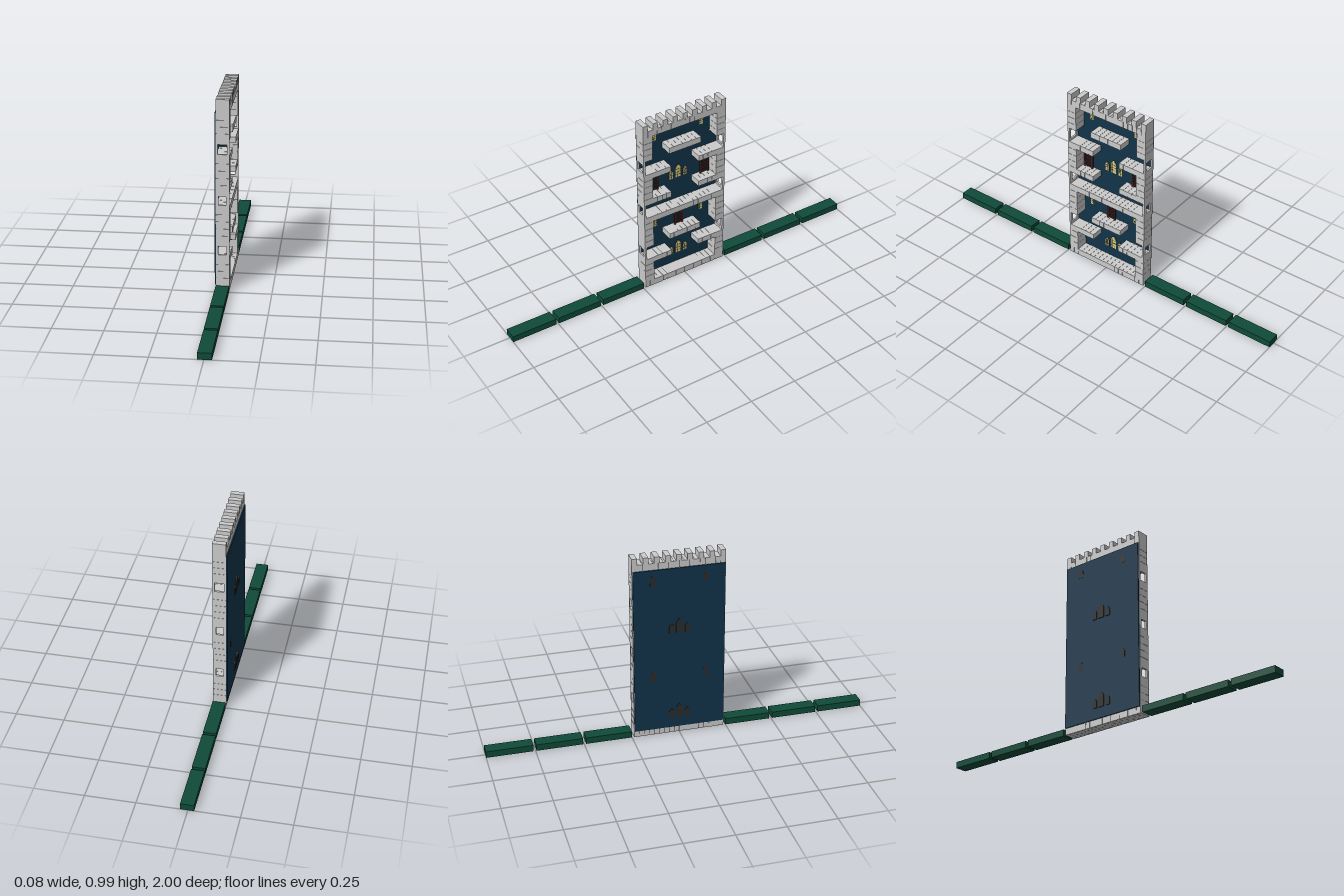
import * as THREE from 'three';

const mat = (color) => new THREE.MeshStandardMaterial({ color, flatShading: true });
const stone = mat(0xcccccc);
const mortar = mat(0x2a2a2a);
const navy = mat(0x12344a);
const green = mat(0x0f4a38);
const wood = mat(0x5a2820);
const glass = mat(0xd8cc7a);
const lead = mat(0x2e2c2a);

// Depth range shared by the masonry, and half width of the tower
const X0 = -0.03, X1 = 0.037, HALF = 0.238, INNER = 0.186;

// Box given by its limits
function box(parent, name, material, x0, x1, y0, y1, z0, z1) {
  const mesh = new THREE.Mesh(new THREE.BoxGeometry(x1 - x0, y1 - y0, z1 - z0), material);
  mesh.position.set((x0 + x1) / 2, (y0 + y1) / 2, (z0 + z1) / 2);
  mesh.name = name;
  parent.add(mesh);
  return mesh;
}

// Row or column of bricks around a dark mortar core
function bricks(parent, name, y0, y1, z0, z1, axis, size, x1 = X1) {
  const group = new THREE.Group();
  group.name = name;
  const i = 0.0012, g = 0.0006;
  box(group, 'mortar', mortar, X0 + i, x1 - i, y0 + i, y1 - i, z0 + i, z1 - i);
  const length = axis === 'y' ? y1 - y0 : z1 - z0;
  const n = Math.max(1, Math.round(length / size));
  const step = length / n;
  for (let k = 0; k < n; k++) {
    const a = k * step + (k ? g : 0);
    const b = (k + 1) * step - (k < n - 1 ? g : 0);
    if (axis === 'y') box(group, 'brick', stone, X0, x1, y0 + a, y0 + b, z0, z1);
    else box(group, 'brick', stone, X0, x1, y0, y1, z0 + a, z0 + b);
  }
  parent.add(group);
}

// Thin outer wall slab with a rectangular opening
function openingSlab(parent, side, [y0, y1, hx0, hx1, hy0, hy1]) {
  const rect = (P, a, b, c, d) => {
    const p = new P();
    p.moveTo(a, c);
    p.lineTo(b, c);
    p.lineTo(b, d);
    p.lineTo(a, d);
    p.closePath();
    return p;
  };
  const shape = rect(THREE.Shape, X0, X1, y0, y1);
  shape.holes.push(rect(THREE.Path, hx0, hx1, hy0, hy1));
  const mesh = new THREE.Mesh(
    new THREE.ExtrudeGeometry(shape, { depth: 0.01, bevelEnabled: false }), stone);
  mesh.position.z = side > 0 ? HALF - 0.01 : -HALF;
  mesh.name = 'wallOpening';
  parent.add(mesh);
}

// Pointed window: dark backing, lit pane and lead bars
function archedWindow(parent, z, y, w, h, back) {
  const group = new THREE.Group();
  group.name = 'window';
  const arch = (material, name, width, height, x0, x1) => {
    const s = new THREE.Shape();
    const r = width / 2, spring = height - width * 0.75;
    s.moveTo(-r, 0);
    s.lineTo(r, 0);
    s.lineTo(r, spring);
    s.quadraticCurveTo(r * 0.8, height - r * 0.5, 0, height);
    s.quadraticCurveTo(-r * 0.8, height - r * 0.5, -r, spring);
    const m = new THREE.Mesh(
      new THREE.ExtrudeGeometry(s, { depth: x1 - x0, bevelEnabled: false, curveSegments: 5 }), material);
    m.rotation.y = Math.PI / 2;
    m.position.x = x0;
    m.name = name;
    group.add(m);
  };
  arch(lead, 'windowFrame', w, h, back, -0.0285);
  arch(glass, 'windowPane', w * 0.88, h * 0.95, -0.0295, -0.0275);
  for (const k of [-1, 1])
    box(group, 'windowBar', lead, -0.028, -0.027, 0.001, h * 0.8, k * w / 6 - 0.0008, k * w / 6 + 0.0008);
  for (const f of [0.2, 0.4, 0.6])
    box(group, 'windowBar', lead, -0.028, -0.027, h * f, h * f + 0.0015, -w * 0.42, w * 0.42);
  group.position.set(0, y, z);
  parent.add(group);
}

// Ladder with two rails and evenly spaced rungs
function ladder(parent, z, y0, y1, w) {
  const group = new THREE.Group();
  group.name = 'ladder';
  for (const s of [-1, 1])
    box(group, 'ladderRail', wood, -0.021, -0.013, y0, y1, z + s * w / 2 - 0.004, z + s * w / 2 + 0.004);
  const n = 7;
  for (let k = 0; k < n; k++) {
    const y = y0 + (k + 0.5) * (y1 - y0) / n;
    box(group, 'ladderRung', wood, -0.02, -0.014, y - 0.003, y + 0.003, z - w / 2, z + w / 2);
  }
  parent.add(group);
}

export function createModel() {
  const model = new THREE.Group();
  model.name = 'castleTower';

  // Ground blocks on both sides
  for (const s of [-1, 1])
    for (const [a, b] of [[0.25, 0.49], [0.505, 0.745], [0.76, 1]])
      box(model, 'groundBlock', green, X0, X1, 0, 0.034, Math.min(s * a, s * b), Math.max(s * a, s * b));

  // Back panel
  box(model, 'backPanel', navy, -0.036, X0, 0.034, 0.922, -0.235, 0.235);

  // Base, middle floor and roof
  bricks(model, 'baseFloor', 0, 0.034, -HALF, HALF, 'z', 0.027);
  bricks(model, 'middleFloor', 0.41, 0.443, -INNER, INNER, 'z', 0.027);
  bricks(model, 'roof', 0.922, 0.957, -HALF, HALF, 'z', 0.027);

  // Battlements
  for (let k = 0; k < 9; k++) {
    const z = -0.2245 + k * 0.449 / 8;
    box(model, 'merlon', stone, X0, X1, 0.957, 0.99, z - 0.0135, z + 0.0135);
  }

  // Side walls with recessed openings
  const piers = [[0.034, 0.18], [0.257, 0.443], [0.52, 0.705], [0.785, 0.922]];
  const openings = [
    [0.18, 0.257, -0.018, 0.022, 0.194, 0.24],
    [0.443, 0.52, -0.017, 0.02, 0.455, 0.5],
    [0.705, 0.785, -0.02, 0.025, 0.715, 0.765],
  ];
  for (const s of [-1, 1]) {
    const span = (a, b) => (s > 0 ? [a, b] : [-b, -a]);
    for (const [y0, y1] of piers)
      bricks(model, 'sideWall', y0, y1, ...span(INNER, HALF), 'y', 0.037);
    for (const o of openings) openingSlab(model, s, o);

    // Side platforms
    for (const y of [0.15, 0.52, 0.674])
      bricks(model, 'sidePlatform', y, y + 0.031, ...span(0.081, INNER), 'z', 0.027);

    // Ladders between the side platforms
    ladder(model, s * 0.15, 0.551, 0.674, 0.046);

    // Small single windows
    for (const y of [0.315, 0.84]) archedWindow(model, s * 0.136, y, 0.024, 0.052, -0.037);
  }

  // Central platforms and ladder
  for (const y of [0.257, 0.785])
    bricks(model, 'centrePlatform', y, y + 0.032, -0.092, 0.092, 'z', 0.027, 0.0385);
  ladder(model, 0.005, 0.289, 0.41, 0.042);

  // Triple windows
  for (const y of [0.09, 0.572]) {
    archedWindow(model, 0, y, 0.034, 0.078, -0.04);
    for (const s of [-1, 1]) archedWindow(model, s * 0.041, y, 0.024, 0.052, -0.04);
  }

  return model;
}
